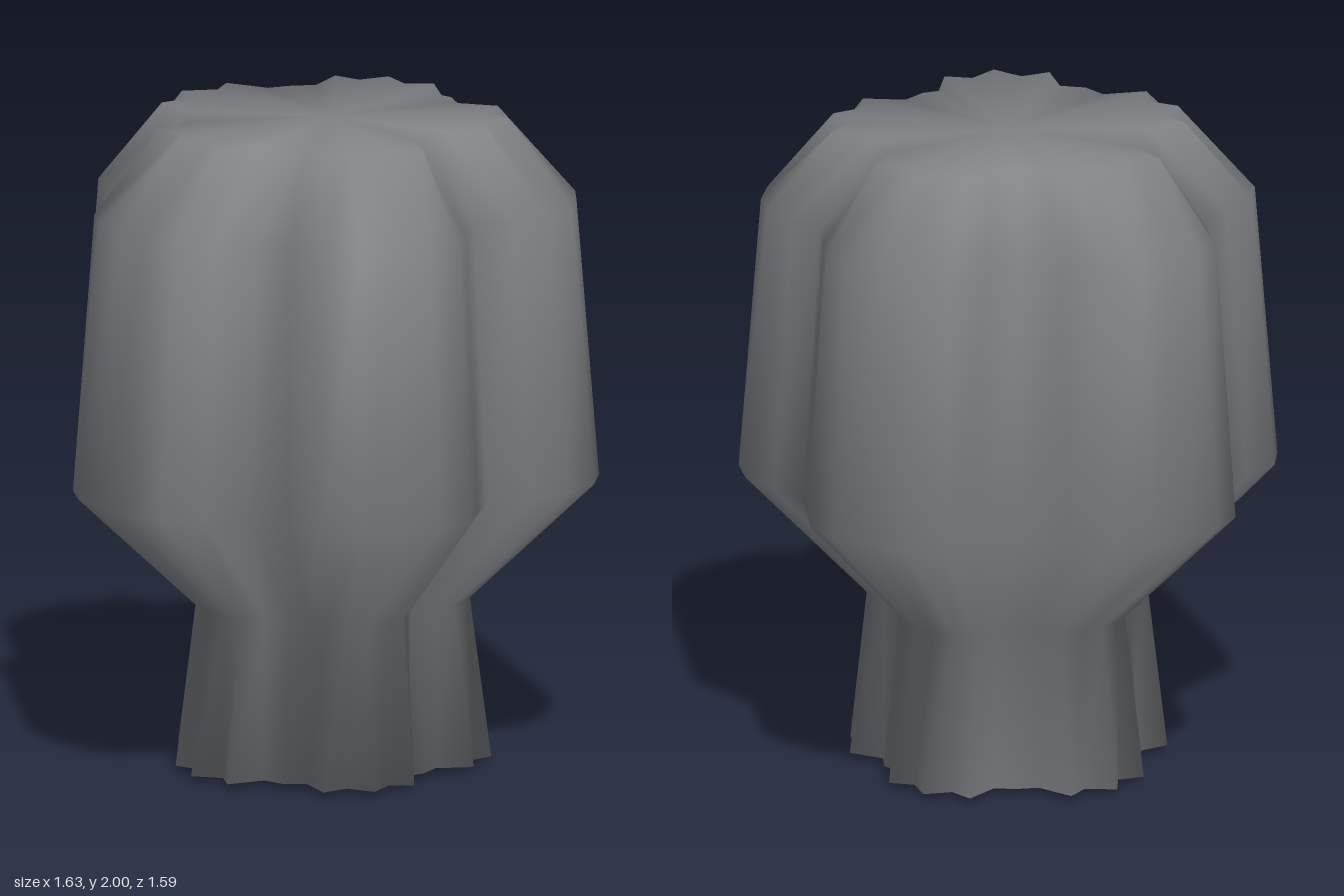
import * as THREE from 'three';

// Five-lobed outline at the widest level, as x, z pairs (8 points per lobe)
const OUTLINE = [
  [0, -0.795], [0.13, -0.785], [0.24, -0.735], [0.31, -0.64],
  [0.40, -0.52], [0.53, -0.48], [0.655, -0.435], [0.735, -0.345],
  [0.785, -0.22], [0.813, -0.1], [0.78, 0.03], [0.69, 0.13],
  [0.59, 0.24], [0.605, 0.36], [0.63, 0.49], [0.58, 0.61],
  [0.49, 0.69], [0.38, 0.765], [0.255, 0.79], [0.13, 0.74],
  [0, 0.69], [-0.13, 0.74], [-0.26, 0.79], [-0.37, 0.765],
  [-0.49, 0.69], [-0.585, 0.61], [-0.64, 0.505], [-0.63, 0.36],
  [-0.63, 0.22], [-0.71, 0.12], [-0.80, 0.02], [-0.813, -0.1],
  [-0.79, -0.22], [-0.735, -0.34], [-0.65, -0.43], [-0.5, -0.46],
  [-0.35, -0.485], [-0.29, -0.6], [-0.235, -0.73], [-0.12, -0.785],
];

// Levels from foot to crown; pleat pulls every second point inward
const LEVELS = [
  { y: 0.02, scale: 0.6, pleat: 0.88 },
  { y: 0.52, scale: 0.52, pleat: 1 },
  { y: 0.9, scale: 1, pleat: 1 },
  { y: 1.75, scale: 0.917, pleat: 1 },
  { y: 2, scale: 0.665, pleat: 0.88 },
];

function lobedLoft() {
  const n = OUTLINE.length;
  const positions = [];
  const index = [];
  for (const { y, scale, pleat } of LEVELS) {
    OUTLINE.forEach(([x, z], i) => {
      const s = scale * (i % 2 ? pleat : 1);
      positions.push(x * s, y, z * s);
    });
  }
  // Walls between neighbouring levels
  for (let k = 0; k < LEVELS.length - 1; k++) {
    for (let i = 0; i < n; i++) {
      const a = k * n + i;
      const b = k * n + (i + 1) % n;
      index.push(b, a, a + n, b, a + n, b + n);
    }
  }
  // Foot and crown caps share the rim points so the shading stays soft
  const foot = LEVELS.length * n;
  const crown = foot + 1;
  const top = (LEVELS.length - 1) * n;
  positions.push(-0.1, 0, -0.1, 0, 2, 0);
  for (let i = 0; i < n; i++) {
    const j = (i + 1) % n;
    index.push(foot, i, j, crown, top + j, top + i);
  }
  const geometry = new THREE.BufferGeometry();
  geometry.setAttribute('position', new THREE.Float32BufferAttribute(positions, 3));
  geometry.setIndex(index);
  geometry.computeVertexNormals();
  return geometry;
}

export function createModel() {
  const grey = new THREE.MeshStandardMaterial({ color: 0x7f8184 });
  grey.name = 'stone grey';
  const body = new THREE.Mesh(lobedLoft(), grey);
  body.name = 'lobedBody';
  const model = new THREE.Group();
  model.name = 'lobedPillar';
  model.add(body);
  return model;
}
